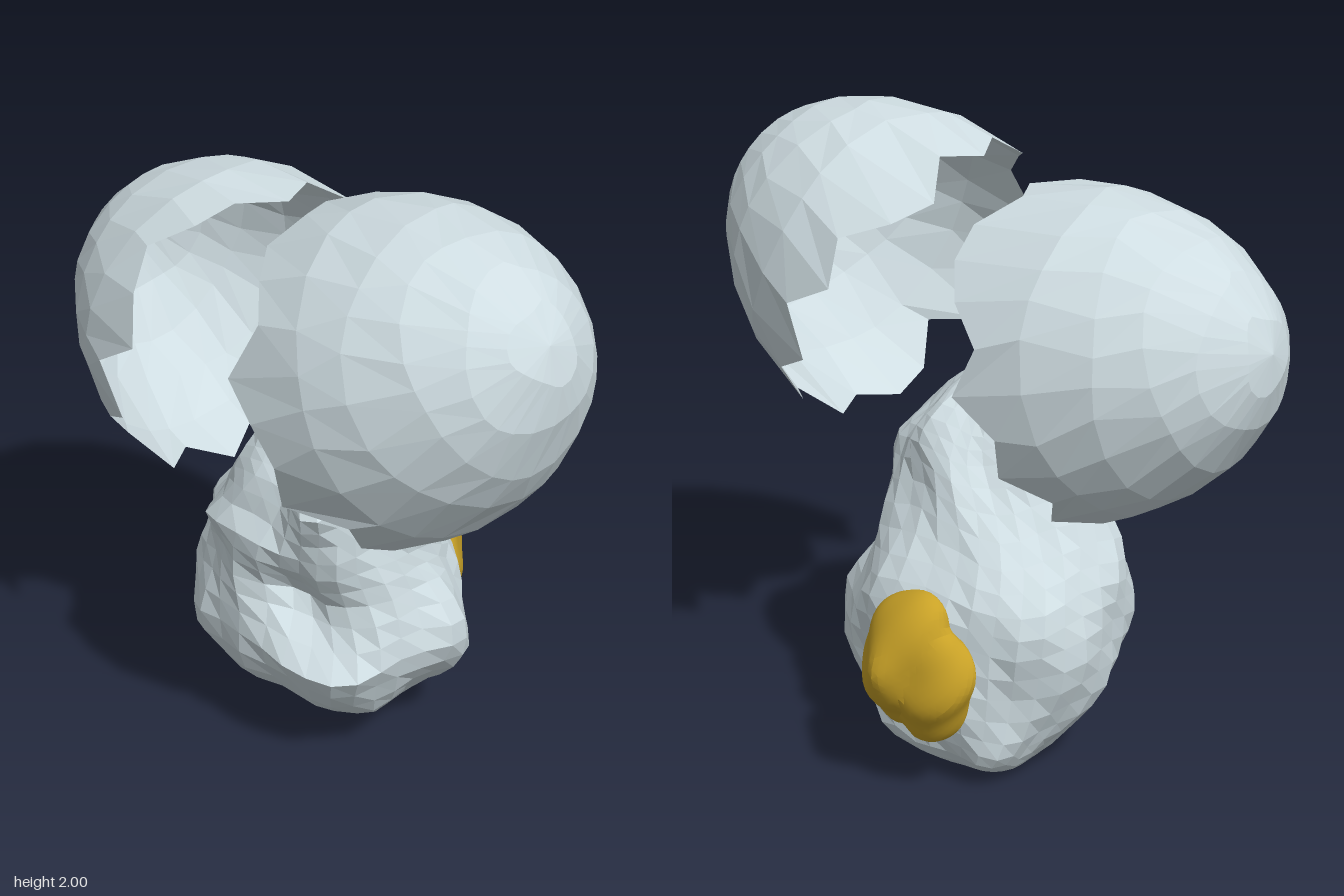
import * as THREE from 'three';
import { mergeVertices, toCreasedNormals } from 'three/addons/utils/BufferGeometryUtils.js';

const grey = new THREE.MeshStandardMaterial({ color: 0xcfdde2, flatShading: true, side: THREE.DoubleSide });
const gold = new THREE.MeshStandardMaterial({ color: 0xc9a227 });

// Joins rows of points (each row closed on itself) into one surface.
function gridGeometry(rows, flip = false) {
  const n = rows[0].length, index = [];
  for (let j = 0; j < rows.length - 1; j++) {
    for (let i = 0; i < n; i++) {
      const a = j * n + i, b = j * n + (i + 1) % n, c = a + n, d = b + n;
      if (flip) index.push(a, b, c, b, d, c);
      else index.push(a, c, b, b, c, d);
    }
  }
  const geometry = new THREE.BufferGeometry().setFromPoints(rows.flat());
  geometry.setIndex(index);
  geometry.computeVertexNormals();
  return geometry;
}

// Half an egg: rings from the pointed pole, the last one jagged. tilt = angle of the pole above the horizon,
// side = +1 or -1 in x, rim = height along the axis every 15 degrees from the top.
function eggShell(name, center, side, tilt, rim) {
  const axis = new THREE.Vector3(side * Math.cos(tilt), Math.sin(tilt), 0);
  const up = new THREE.Vector3(-side * Math.sin(tilt), Math.cos(tilt), 0);
  const depth = new THREE.Vector3(0, 0, 1), length = 0.73, widest = -0.15, rings = 6, rows = [];
  for (let k = 0; k <= rings; k++) {
    rows.push(rim.map((height, i) => {
      const isRim = k === rings, wobble = k > 0 && !isRim ? 1 : 0;
      const angle = i / rim.length * Math.PI * 2 + wobble * 0.06 * Math.sin(5 * i + 9 * k);
      const x = isRim ? (height - widest) / length
        : Math.cos(1.25 * k / (rings - 1) + wobble * 0.03 * Math.sin(7 * i + 4 * k));
      const radius = 0.523 * (1 - Math.abs(x) ** 1.85) ** 0.54;
      return center.clone().addScaledVector(axis, widest + length * x)
        .addScaledVector(up, radius * Math.cos(angle))
        .addScaledVector(depth, radius * Math.sin(angle));
    }));
  }
  const mesh = new THREE.Mesh(gridGeometry(rows, side < 0), grey);
  mesh.name = name;
  return mesh;
}

// Crumpled body: oval sections up the height, pushed in and out by folds.
function crumpledBody() {
  // y, centre x, half width, centre z, half depth
  const sections = [
    [0.0, -0.13, 0.12, -0.1, 0.08], [0.03, -0.145, 0.18, -0.12, 0.17], [0.1, -0.12, 0.27, -0.13, 0.24],
    [0.2, -0.1, 0.36, -0.07, 0.32], [0.35, -0.075, 0.44, -0.03, 0.375], [0.5, -0.075, 0.46, -0.03, 0.38],
    [0.63, -0.1, 0.42, -0.02, 0.355], [0.75, -0.08, 0.38, 0.03, 0.32], [0.88, -0.03, 0.33, 0.06, 0.275],
    [1.0, 0.02, 0.27, 0.08, 0.25], [1.08, 0.01, 0.2, 0.09, 0.215], [1.16, 0.0, 0.14, 0.11, 0.16],
    [1.22, 0.0, 0.07, 0.13, 0.09],
  ];
  // Folds: angle (0 = front, + = left), y, angular width, height, push
  const folds = [
    [-0.75, 0.8, 0.55, 0.05, 0.02], [-0.1, 0.8, 0.4, 0.05, 0.03],   // hood lip
    [-0.5, 0.72, 0.7, 0.03, -0.035],                                // crease under the lip
    [-0.5, 0.42, 0.4, 0.2, 0.025],                                  // bulging front pane
    [-0.06, 0.45, 0.1, 0.24, 0.03],                                 // upright ridge
    [0.5, 0.6, 0.3, 0.11, -0.11],                                   // hollow beside the ridge
    [0.8, 0.42, 0.5, 0.04, 0.04], [0.75, 0.31, 0.5, 0.03, -0.03],   // shelf lip and the crease below it
    [0.12, 1.08, 0.25, 0.12, -0.07], [0.8, 1.0, 0.3, 0.06, 0.04],   // groove and knob of the head
    [1.55, 0.52, 0.2, 0.1, -0.03], [1.95, 0.35, 0.25, 0.2, 0.03],   // side crease and rear crest
  ];
  const curve = (f) => new THREE.CatmullRomCurve3(sections.map(f), false, 'catmullrom');
  const middle = curve((s) => new THREE.Vector3(s[1], s[0], s[3]));
  const size = curve((s) => new THREE.Vector3(s[2], s[0], s[4]));
  const squarish = (v) => Math.sign(v) * Math.abs(v) ** 0.9;
  const rowCount = 24, sides = 32, rows = [];
  for (let j = 0; j <= rowCount; j++) {
    const c = middle.getPoint(j / rowCount), r = size.getPoint(j / rowCount);
    const fade = THREE.MathUtils.clamp(Math.min(c.y / 0.15, (1.22 - c.y) / 0.12), 0, 1);
    const row = [];
    for (let i = 0; i < sides; i++) {
      const a = i / sides * Math.PI * 2;
      let push = 0.014 * Math.sin(5 * a + 11 * c.y) + 0.008 * Math.sin(9 * a - 17 * c.y);
      for (const [fa, fy, wa, wy, amount] of folds) {
        const da = Math.atan2(Math.sin(a - fa), Math.cos(a - fa));
        push += amount * Math.exp(-((da / wa) ** 2) - ((c.y - fy) / wy) ** 2);
      }
      push *= fade;
      // rows waver in height so the creases do not run level
      const y = c.y + fade * 0.022 * Math.sin(4 * a + 1.5 * c.y + 1);
      row.push(new THREE.Vector3(c.x + squarish(Math.sin(a)) * (r.x + push), y,
        c.z + squarish(Math.cos(a)) * (r.z + push)));
    }
    rows.push(row);
  }
  // Close both ends
  const close = (row, p) => row.map(() => p.clone());
  rows.unshift(close(rows[0], middle.getPoint(0)));
  rows.push(close(rows[0], middle.getPoint(1)));
  const mesh = new THREE.Mesh(gridGeometry(rows, true), grey);
  mesh.name = 'crumpledBody';
  return mesh;
}

// Lumpy nugget on the back, rising to a blunt point
function nugget() {
  let geometry = new THREE.IcosahedronGeometry(1, 9);
  geometry.deleteAttribute('uv');
  geometry.deleteAttribute('normal');
  geometry = mergeVertices(geometry);
  const p = geometry.attributes.position, v = new THREE.Vector3();
  for (let i = 0; i < p.count; i++) {
    v.fromBufferAttribute(p, i);
    const peak = 0.045 * Math.exp(-((v.x - 0.2) ** 2 + v.y ** 2) / 0.12);
    const lump = 0.04 * Math.sin(5 * v.x + 3 * v.y) + 0.04 * Math.sin(7 * v.y - 4 * v.z + 1)
      - 0.07 * Math.exp(-(((v.x + 0.5 * v.y + 0.3) / 0.15) ** 2));
    v.multiplyScalar(1 + lump);
    p.setXYZ(i, -0.14 + v.x * 0.205, 0.435 + v.y * 0.235,
      -0.435 + (v.z < 0 ? v.z * 0.13 - peak : v.z * 0.05));
  }
  const mesh = new THREE.Mesh(toCreasedNormals(geometry, 0.3), gold);
  mesh.name = 'nugget';
  return mesh;
}

export function createModel() {
  const group = new THREE.Group();
  const leftRim = [-0.2, -0.12, -0.17, -0.1, -0.05, -0.19, -0.12, -0.1, -0.2, -0.04, -0.16, -0.19, -0.115,
    -0.18, -0.06, -0.17, -0.1, -0.2, -0.08, -0.19, -0.12, -0.22, -0.26, -0.14];
  const rightRim = [-0.205, -0.12, -0.1, -0.01, -0.08, -0.17, -0.02, -0.15, 0, 0.01, -0.12, -0.01, -0.105,
    -0.01, -0.1, 0, -0.11, -0.06, -0.175, -0.08, -0.17, -0.22, -0.22, -0.125];
  group.add(
    eggShell('leftShell', new THREE.Vector3(0.449, 1.513, 0.085), 1, 0.471, leftRim),
    eggShell('rightShell', new THREE.Vector3(-0.446, 1.36, 0.085), -1, 0.201, rightRim),
    crumpledBody(),
    nugget(),
  );
  return group;
}
